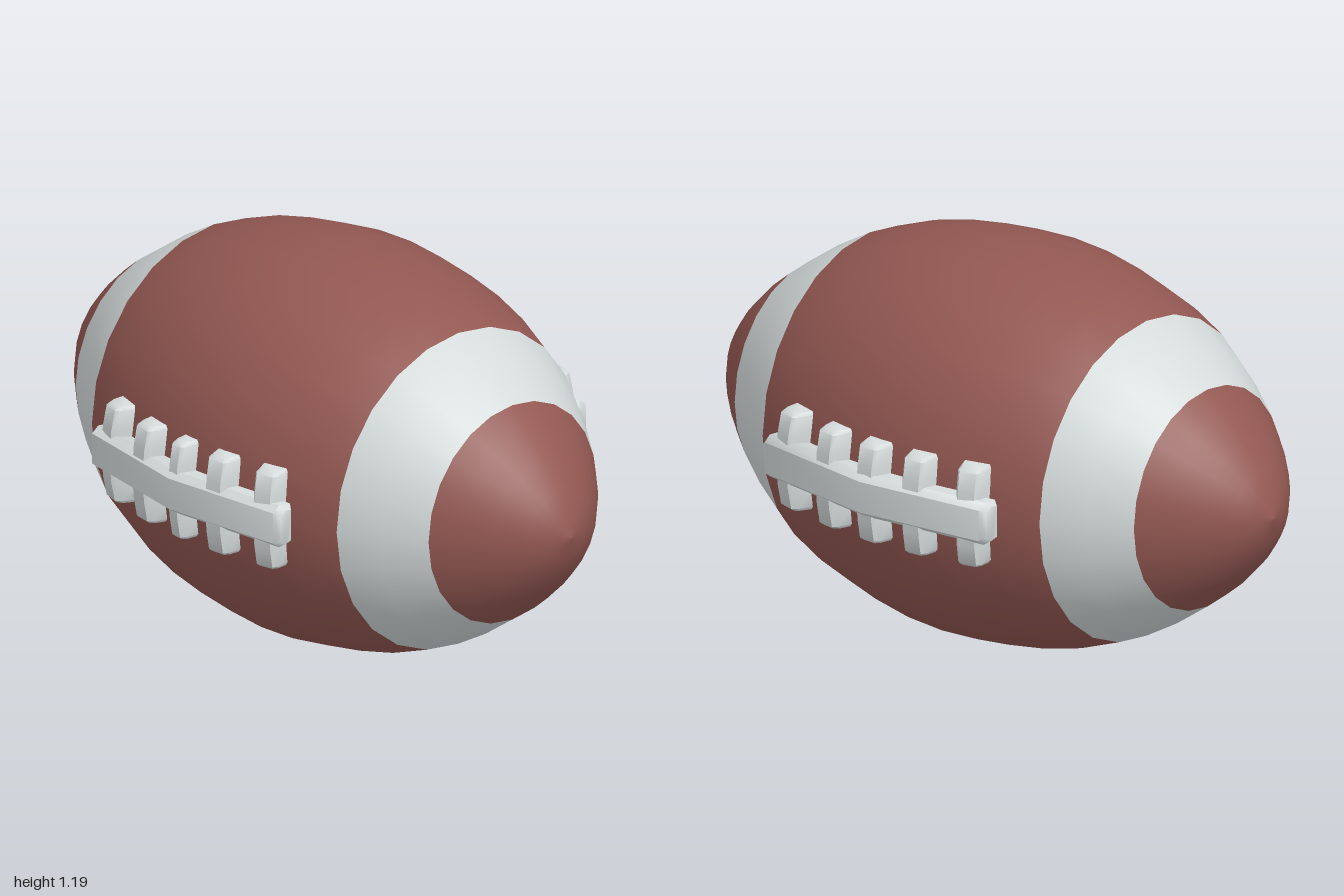
import * as THREE from 'three';
import { toCreasedNormals } from 'three/addons/utils/BufferGeometryUtils.js';

const CENTER_Y = 0.595;
const DEPTH = 0.967; // the ball is slightly squashed front to back

// Skin closed rings that advance along +x; each ring is a list of [x, y, z]
function loft(rings) {
  const n = rings[0].length;
  const last = (rings.length - 1) * n;
  const index = [];
  for (let i = 0; i < rings.length - 1; i++) {
    for (let j = 0; j < n; j++) {
      const a = i * n + j, b = i * n + (j + 1) % n;
      index.push(a, b, b + n, a, b + n, a + n);
    }
  }
  for (let j = 1; j < n - 1; j++) {
    index.push(0, j + 1, j, last, last + j, last + j + 1);
  }
  const geo = new THREE.BufferGeometry();
  geo.setAttribute('position', new THREE.Float32BufferAttribute(rings.flat(2), 3));
  geo.setIndex(index);
  geo.computeVertexNormals();
  return geo;
}

// Chamfered trapezoid section: wide at zBase, narrow at zTop
function section(x, baseHalf, topHalf, zBase, zTop, c) {
  const mid = zTop - c * 1.3;
  return [
    [x, baseHalf, zBase], [x, topHalf + c * 0.6, mid], [x, topHalf - c * 0.4, zTop],
    [x, -topHalf + c * 0.4, zTop], [x, -topHalf - c * 0.6, mid], [x, -baseHalf, zBase],
  ];
}

export function createModel() {
  const model = new THREE.Group();
  model.name = 'football';
  const leather = new THREE.MeshStandardMaterial({ color: 0x935852 });
  leather.name = 'brown leather';
  const white = new THREE.MeshStandardMaterial({ color: 0xd4dada });
  white.name = 'white';

  // Ball: half profile as [x, radius], mirrored to both ends
  const half = [[0, 0.595], [0.13, 0.588], [0.26, 0.567], [0.39, 0.533], [0.52, 0.483], [0.635, 0.415],
    [0.75, 0.333], [0.82, 0.275], [0.89, 0.205], [0.95, 0.128], [0.98, 0.068], [1, 0.001]];
  const profile = [...half.slice(1).reverse().map(([x, r]) => [-x, r]), ...half];
  const SIDES = 24;
  const ballGeo = loft(profile.map(([x, r]) => Array.from({ length: SIDES }, (_, j) => {
    const a = j / SIDES * Math.PI * 2;
    return [x, r * Math.cos(a), r * Math.sin(a) * DEPTH];
  })));
  // Two white stripes between |x| = 0.52 and 0.75
  const perRow = SIDES * 6;
  for (let i = 0; i < profile.length - 1; i++) {
    const mid = Math.abs(profile[i][0] + profile[i + 1][0]) / 2;
    const end = i === profile.length - 2 ? Infinity : perRow;
    ballGeo.addGroup(i * perRow, end, mid > 0.52 && mid < 0.75 ? 1 : 0);
  }
  const ball = new THREE.Mesh(ballGeo, [leather, white]);
  ball.name = 'ball';
  ball.position.y = CENTER_Y;
  model.add(ball);

  // Depth of the ball surface at x, and at height y above its middle
  const surface = (x, y) => {
    const ax = Math.abs(x);
    const k = half.findIndex((p) => p[0] > ax);
    const [x0, r0] = half[k - 1], [x1, r1] = half[k];
    const r = r0 + (r1 - r0) * (ax - x0) / (x1 - x0);
    return Math.sqrt(r * r - y * y) * DEPTH;
  };

  function addLaces(name, length, middleWidth, lift) {
    const group = new THREE.Group();
    group.name = name;
    // Long bar, bent in the middle
    const rings = [[-1, 0.012], [-0.96, 0], [0, 0], [0.96, 0], [1, 0.012]].map(([t, inset]) => {
      const bend = 1 - Math.abs(t);
      return section(t * length, 0.059 - inset, 0.054 - inset,
        0.522 + 0.04 * bend + inset, 0.587 + lift + 0.056 * bend - inset, 0.018);
    });
    const bar = new THREE.Mesh(toCreasedNormals(loft(rings), 0.75), white);
    bar.name = 'laceBar';
    group.add(bar);

    // Five cross ties that follow the curve of the ball
    for (const x of [-0.317, -0.152, 0, 0.152, 0.317]) {
      const w = x === 0 ? middleWidth : 0.05;
      const z0 = surface(x, 0);
      const tieRings = [-0.15, -0.14, -0.08, 0, 0.08, 0.14, 0.15].map((y) => {
        const z = surface(x, y) - z0;
        const inset = Math.abs(y) > 0.145 ? 0.01 : 0;
        return section(y, w - inset * 0.6, w * 0.6 - inset * 0.6, z - 0.03, z + 0.054 - inset, 0.01);
      });
      const geo = loft(tieRings);
      geo.rotateZ(Math.PI / 2);
      const tie = new THREE.Mesh(toCreasedNormals(geo, 0.75), white);
      tie.name = 'laceTie';
      tie.position.set(x * length / 0.4, 0, z0 + lift * 0.5);
      tie.rotation.y = x * 0.85;
      group.add(tie);
    }
    group.position.y = CENTER_Y + 0.003;
    model.add(group);
    return group;
  }

  addLaces('frontLaces', 0.4, 0.034, 0);
  addLaces('backLaces', 0.418, 0.05, 0.006).rotation.y = Math.PI;

  return model;
}
